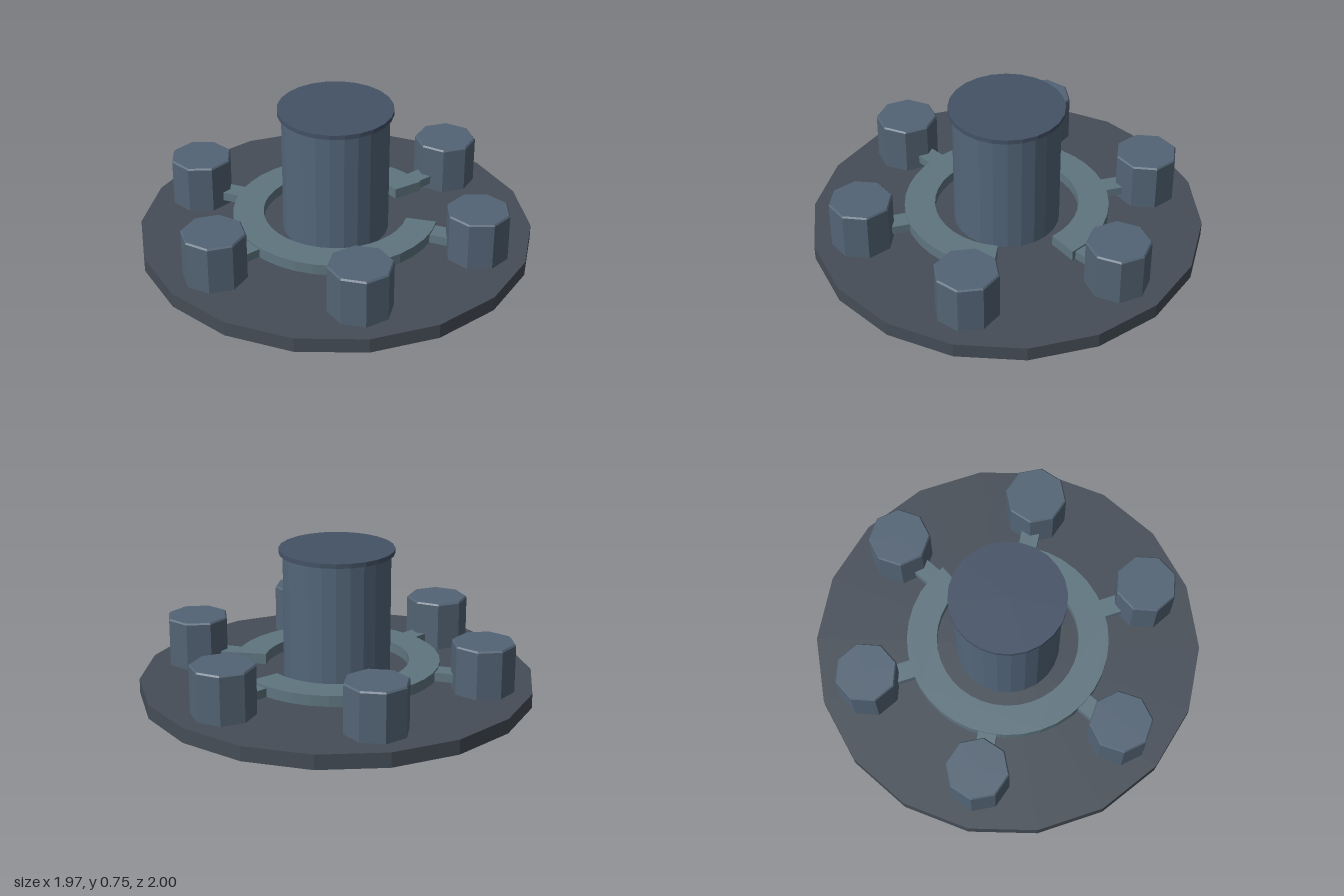
import * as THREE from 'three';

const flat = (color) => new THREE.MeshStandardMaterial({ color, flatShading: true });

export function createModel() {
  const model = new THREE.Group();
  const baseMat = flat(0x454d57);
  const drumMat = flat(0x53667a);
  const capMat = flat(0x445266);
  const tankMat = flat(0x536475);
  const ringMat = flat(0x5f7580);

  const add = (parent, name, geometry, material, x = 0, y = 0, z = 0) => {
    const mesh = new THREE.Mesh(geometry, material);
    mesh.name = name;
    mesh.position.set(x, y, z);
    parent.add(mesh);
    return mesh;
  };
  // Upright prism standing between two heights
  const prism = (radius, bottom, top, sides) =>
    new THREE.CylinderGeometry(radius, radius, top - bottom, sides).translate(0, (bottom + top) / 2, 0);

  // Round platform, central drum and its overhanging lid
  add(model, 'basePlate', prism(1, 0, 0.075, 18), baseMat);
  add(model, 'centralDrum', prism(0.27, 0.07, 0.725, 24), drumMat);
  add(model, 'drumLid', prism(0.29, 0.722, 0.745, 24), capMat);

  // Raised ring walkway, open toward +x
  const gap = Math.PI / 8;
  const arc = new THREE.Shape();
  arc.absarc(0, 0, 0.522, gap, 2 * Math.PI - gap, false);
  arc.absarc(0, 0, 0.367, 2 * Math.PI - gap, gap, true);
  arc.closePath();
  const ring = new THREE.ExtrudeGeometry(arc, { depth: 0.055, bevelEnabled: false, curveSegments: 16 });
  ring.rotateX(-Math.PI / 2);
  add(model, 'ringWalkway', ring, ringMat, 0, 0.108, 0);

  // Six tanks, each joined to the ring by a spoke
  const tankProfile = [[0, 0.07], [0.16, 0.07], [0.16, 0.317], [0.153, 0.325], [0, 0.325]]
    .map(([r, y]) => new THREE.Vector2(r, y));
  const tankGeometry = new THREE.LatheGeometry(tankProfile, 8);
  const spokeGeometry = new THREE.BoxGeometry(0.095, 0.045, 0.16);
  for (let i = 0; i < 6; i++) {
    const arm = new THREE.Group();
    arm.name = `tankArm${i + 1}`;
    arm.rotation.y = (i * Math.PI) / 3;
    add(arm, 'tank', tankGeometry, tankMat, 0, 0, 0.75);
    add(arm, 'spoke', spokeGeometry, ringMat, 0, 0.131, 0.56);
    model.add(arm);
  }
  return model;
}
